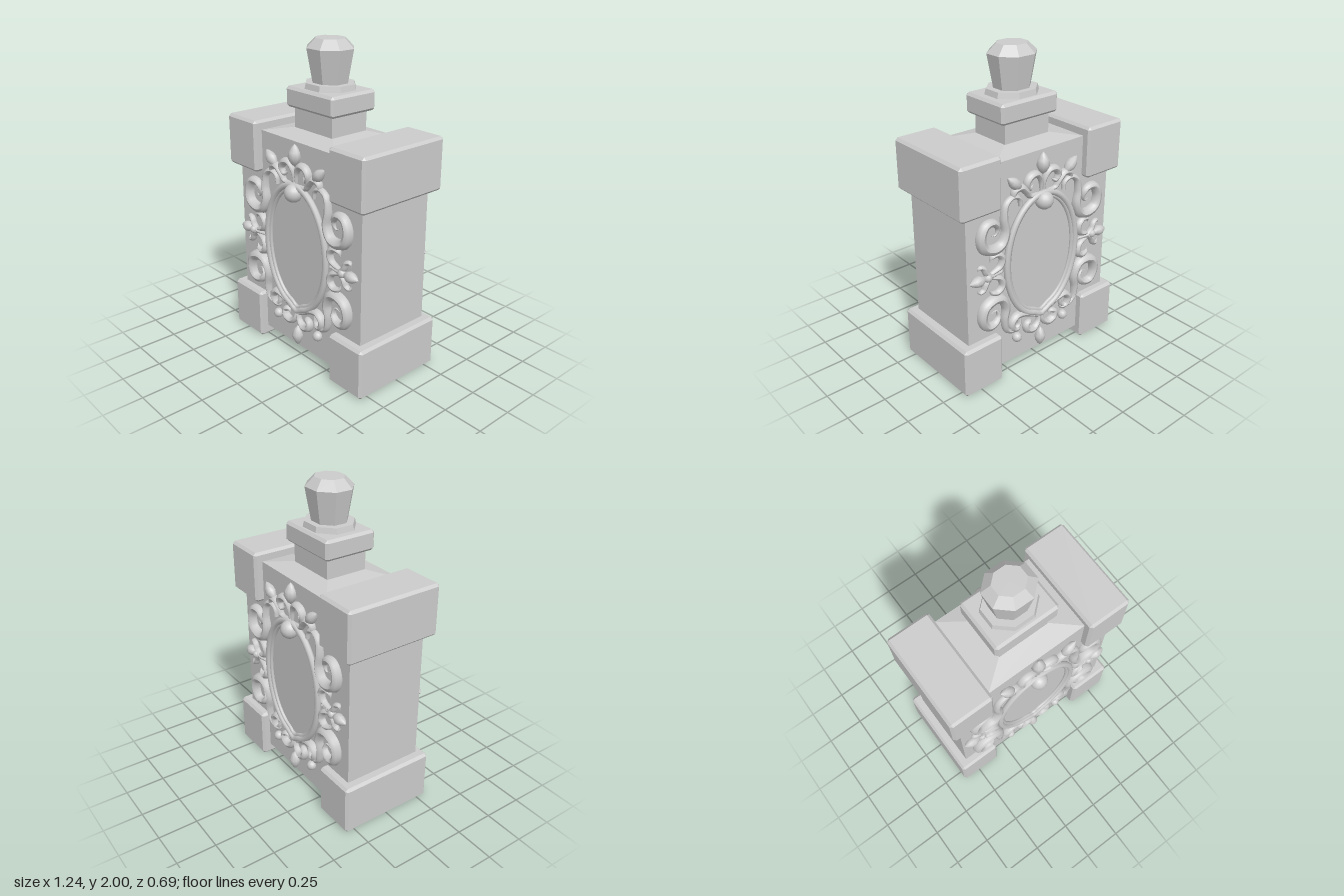
import * as THREE from 'three';
import { ConvexGeometry } from 'three/addons/geometries/ConvexGeometry.js';

const mat = new THREE.MeshStandardMaterial({ color: 0xcccccc, side: THREE.DoubleSide });
const flat = new THREE.MeshStandardMaterial({ color: 0xcccccc, flatShading: true });
const FACE = 0.262; // z of the flat front of the body

function add(parent, name, geometry, x = 0, y = 0, z = 0, material = flat) {
  const mesh = new THREE.Mesh(geometry, material);
  mesh.name = name;
  mesh.position.set(x, y, z);
  parent.add(mesh);
  return mesh;
}

// Box with chamfered edges and corners
function chamferBox(w, h, d, b) {
  const pts = [];
  for (const sx of [-1, 1]) for (const sy of [-1, 1]) for (const sz of [-1, 1]) {
    const x = w / 2, y = h / 2, z = d / 2;
    pts.push(new THREE.Vector3(sx * x, sy * (y - b), sz * (z - b)),
      new THREE.Vector3(sx * (x - b), sy * y, sz * (z - b)),
      new THREE.Vector3(sx * (x - b), sy * (y - b), sz * z));
  }
  return new ConvexGeometry(pts);
}

// Upright prism with equal sides, flats facing the axes
function prism(top, bottom, h, sides, sx, sz) {
  const k = 1 / Math.cos(Math.PI / sides);
  return new THREE.CylinderGeometry(top * k, bottom * k, h, sides)
    .rotateY(Math.PI / sides).scale(sx, 1, sz);
}

// Swept strand, thin at the root, swelling in the curl and tapering at the tip
function strand(points, radius, mirror) {
  const curve = new THREE.CatmullRomCurve3(points.map(([x, y]) => new THREE.Vector3(x * mirror, y, 0)));
  const n = points.length * 5, sides = 8;
  const geo = new THREE.TubeGeometry(curve, n, 1, sides);
  const pos = geo.attributes.position;
  const v = new THREE.Vector3();
  for (let i = 0; i <= n; i++) {
    const t = i / n;
    const c = curve.getPointAt(t);
    const r = radius * (0.35 + 0.65 * Math.sin(Math.PI * Math.pow(t, 1.25))) * Math.min(1, (1 - t) * 8 + 0.03);
    for (let j = 0; j <= sides; j++) {
      const k = i * (sides + 1) + j;
      v.fromBufferAttribute(pos, k).sub(c).multiplyScalar(r);
      pos.setXYZ(k, c.x + v.x, c.y + v.y, v.z * 1.25);
    }
  }
  geo.computeVertexNormals();
  return geo;
}

// Pointed leaf drop, long axis along y
function drop(length, width) {
  const profile = [[0, -0.5], [0.55, -0.36], [1, -0.08], [0.85, 0.16], [0.4, 0.38], [0, 0.5]]
    .map(([r, y]) => new THREE.Vector2(r * width / 2, y * length));
  return new THREE.LatheGeometry(profile, 10);
}

// Right half of the scrollwork: [name, radius, path]
const upperScroll = [[0.17, 1.13], [0.18, 1.18], [0.23, 1.2], [0.28, 1.17], [0.295, 1.09], [0.285, 1.0],
  [0.32, 0.93], [0.38, 0.915], [0.445, 0.945], [0.465, 1.02], [0.43, 1.085], [0.37, 1.085], [0.34, 1.04], [0.36, 1.0], [0.395, 1.01]];
const sideCurl = [[0.44, 0.755], [0.38, 0.765], [0.325, 0.79], [0.31, 0.84], [0.345, 0.875], [0.39, 0.865], [0.4, 0.835]];
const flipY = (path) => path.map(([x, y]) => [x, 1.495 - y]);
const strands = [
  ['upperScroll', 0.033, upperScroll],
  ['lowerScroll', 0.033, flipY(upperScroll)],
  ['upperSideCurl', 0.022, sideCurl],
  ['lowerSideCurl', 0.022, flipY(sideCurl)],
  ['outwardSideCurl', 0.019, [[0.31, 0.75], [0.39, 0.75], [0.43, 0.78], [0.45, 0.82], [0.48, 0.83], [0.49, 0.805]]],
  ['lowerOutwardSideCurl', 0.019, [[0.31, 0.745], [0.39, 0.745], [0.43, 0.715], [0.45, 0.675], [0.48, 0.665], [0.49, 0.69]]],
  ['crestCurl', 0.024, [[0.01, 1.18], [0.015, 1.25], [0.05, 1.295], [0.1, 1.29], [0.125, 1.25], [0.1, 1.215], [0.07, 1.235]]],
  ['crestArch', 0.024, [[0.04, 1.17], [0.1, 1.17], [0.13, 1.21], [0.17, 1.245], [0.215, 1.235], [0.225, 1.2], [0.2, 1.185]]],
  ['baseCurl', 0.025, [[0.01, 0.34], [0.02, 0.27], [0.06, 0.235], [0.11, 0.25], [0.12, 0.29], [0.085, 0.305], [0.07, 0.28]]],
  ['baseArch', 0.025, [[0.02, 0.31], [0.08, 0.345], [0.14, 0.38], [0.2, 0.39], [0.24, 0.35], [0.22, 0.3], [0.175, 0.3], [0.17, 0.335]]],
];

// Closed oval, slightly pointed at the foot
function oval(rx, ry, z) {
  const pts = [];
  for (let i = 0; i < 32; i++) {
    const a = (i / 32) * Math.PI * 2;
    const foot = i === 24 ? 0.02 : 0;
    pts.push(new THREE.Vector3(rx * Math.cos(a), 0.755 + ry * Math.sin(a) - foot, z));
  }
  return new THREE.CatmullRomCurve3(pts, true);
}

function createOrnament() {
  const g = new THREE.Group();
  // Oval frame of two mouldings around a plain panel
  add(g, 'outerFrame', new THREE.TubeGeometry(oval(0.277, 0.408, 0.28), 64, 0.02, 8, true), 0, 0, 0, mat);
  add(g, 'innerFrame', new THREE.TubeGeometry(oval(0.257, 0.385, 0.272), 64, 0.014, 6, true), 0, 0, 0, mat);
  const panel = new THREE.CircleGeometry(1, 48).scale(0.26, 0.385, 1);
  add(g, 'panel', panel, 0, 0.755, FACE + 0.006, mat);

  // Mirrored scrolls, leaves and beads
  for (const s of [-1, 1]) {
    for (const [name, r, path] of strands) add(g, name, strand(path, r, s), 0, 0, 0.273, mat);
    add(g, 'crestLeaf', drop(0.13, 0.07), s * 0.22, 1.285, 0.28, mat).rotation.z = -s * 0.85;
    add(g, 'sideLeaf', drop(0.12, 0.07), s * 0.495, 0.75, 0.28, mat).rotation.z = -s * Math.PI / 2;
    add(g, 'sideBead', new THREE.SphereGeometry(0.026, 10, 8), s * 0.425, 0.75, 0.285, mat);
    add(g, 'baseBead', new THREE.SphereGeometry(0.032, 12, 8), s * 0.195, 0.23, 0.275, mat);
  }
  add(g, 'topLeaf', drop(0.14, 0.085), 0, 1.35, 0.275, mat);
  add(g, 'bottomLeaf', drop(0.14, 0.075), 0, 0.15, 0.275, mat).rotation.z = Math.PI;
  add(g, 'topBall', new THREE.SphereGeometry(0.057, 16, 12), 0, 1.12, 0.29, mat);
  return g;
}

export function createModel() {
  const model = new THREE.Group();
  model.name = 'ornateBottle';

  // Body with sloping shoulders
  add(model, 'body', new THREE.BoxGeometry(1.12, 1.36, FACE * 2), 0, 0.75, 0);
  add(model, 'shoulder', prism(0.515, 1, 0.03, 4, 0.335, FACE), 0, 1.445, 0);

  // Corner blocks
  for (const s of [-1, 1]) {
    add(model, 'upperCornerBlock', chamferBox(0.285, 0.325, 0.63, 0.016), s * 0.478, 1.327, 0);
    add(model, 'lowerCornerBlock', chamferBox(0.285, 0.325, 0.63, 0.016), s * 0.478, 0.1635, 0);
  }

  // Neck and collar
  add(model, 'neck', new THREE.BoxGeometry(0.335, 0.17, 0.27), 0, 1.515, 0);
  add(model, 'collar', chamferBox(0.425, 0.125, 0.34, 0.016), 0, 1.648, 0);

  // Faceted stopper
  add(model, 'stopperBase', prism(0.15, 0.158, 0.035, 8, 1, 0.9), 0, 1.727, 0);
  add(model, 'stopper', prism(0.143, 0.107, 0.205, 8, 1, 0.91), 0, 1.8425, 0);
  add(model, 'stopperCrown', prism(0.09, 0.143, 0.055, 8, 1, 0.91), 0, 1.9725, 0);

  // Matching scrollwork on the front and back
  const front = createOrnament();
  front.name = 'frontOrnament';
  const back = createOrnament();
  back.name = 'backOrnament';
  back.rotation.y = Math.PI;
  model.add(front, back);
  return model;
}
